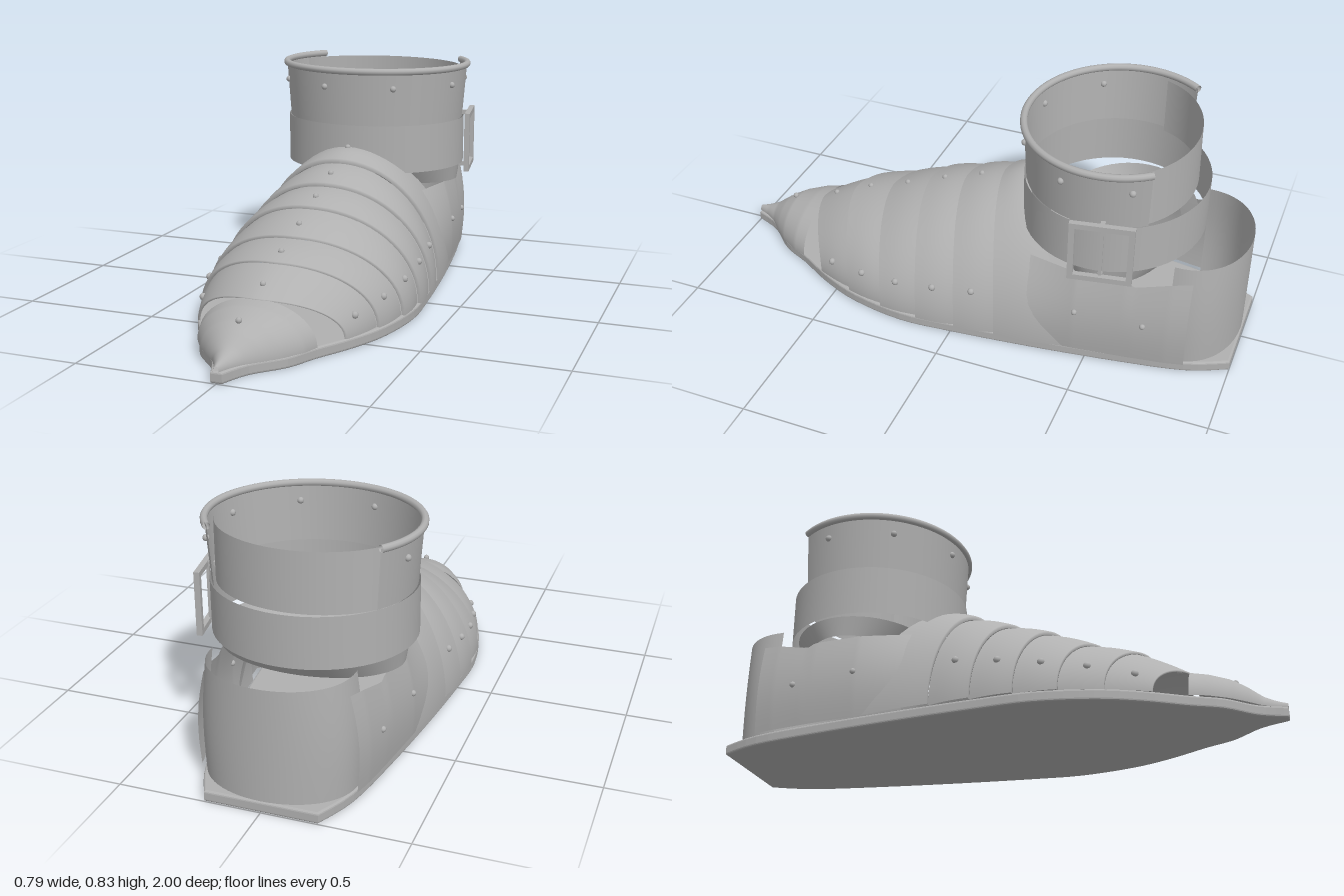
import * as THREE from 'three';
import { ParametricGeometry } from 'three/addons/geometries/ParametricGeometry.js';

const steel = new THREE.MeshStandardMaterial({ color: 0xb0b0b0, side: THREE.DoubleSide });
steel.name = 'steel grey';

const BASE = 0.04; // top of the sole
const ANKLE_Z = -0.495;
const lerp = THREE.MathUtils.lerp;

export function createModel() {
  const model = new THREE.Group();

  const add = (name, geometry, parent = model) => {
    const mesh = new THREE.Mesh(geometry, steel);
    mesh.name = name;
    parent.add(mesh);
    return mesh;
  };
  const sheet = (name, fn, nu, nv) =>
    add(name, new ParametricGeometry((u, v, p) => p.set(...fn(u, v)), nu, nv));
  const rivet = (x, y, z, r = 0.011) =>
    add('rivet', new THREE.SphereGeometry(r, 10, 8)).position.set(x, y, z);

  // Piecewise linear reading of rows whose first entry is the key
  const sample = (rows, key) => {
    let i = 0;
    while (i < rows.length - 2 && key > rows[i + 1][0]) i++;
    const a = rows[i], b = rows[i + 1];
    const t = (key - a[0]) / (b[0] - a[0]);
    return a.map((n, k) => lerp(n, b[k], t));
  };

  // Sole: half outline as [halfWidth, z], mirrored
  const half = [[0.195, -1], [0.26, -0.85], [0.305, -0.6], [0.345, -0.3], [0.375, 0], [0.385, 0.2],
    [0.35, 0.4], [0.29, 0.55], [0.21, 0.69], [0.155, 0.8], [0.065, 0.9], [0.02, 1]];
  const side = new THREE.SplineCurve(half.map(([x, z]) => new THREE.Vector2(x, -z))).getPoints(44);
  const outline = [...side, ...side.slice().reverse().map(p => new THREE.Vector2(-p.x, p.y))];
  const sole = new THREE.ExtrudeGeometry(new THREE.Shape(outline), {
    depth: 0.024, bevelThickness: 0.008, bevelSize: 0.008, bevelOffset: -0.008, bevelSegments: 3,
  });
  sole.rotateX(-Math.PI / 2).translate(0, 0.008, 0);
  add('sole', sole);

  // Foot lames between arched edges: [topZ, topY, bottomZ, halfWidth]
  const edges = [[-0.17, 0.53, -0.42, 0.335], [-0.07, 0.5, -0.17, 0.37], [0.08, 0.44, -0.02, 0.385],
    [0.23, 0.388, 0.13, 0.388], [0.39, 0.317, 0.28, 0.375], [0.55, 0.268, 0.43, 0.335],
    [0.7, 0.183, 0.58, 0.272]];
  const archPoint = (e, angle, scale) => {
    const c = Math.cos(angle);
    const z = lerp(e[0], e[2], Math.pow(Math.abs(c), 1.5));
    return [c * e[3] * scale, BASE + Math.sin(angle) * (e[1] - BASE) * scale, z];
  };
  for (let i = 0; i < edges.length - 1; i++) {
    const a = edges[i], b = edges[i + 1];
    const at = (angle, t, lip = 0) => {
      const e = a.map((n, k) => lerp(n, b[k], t));
      const rear = i === 0 ? 1 : 0.965;
      return archPoint(e, angle, lerp(rear, 1.005, t) + 0.015 * Math.sin(Math.PI * t) - lip);
    };
    // the last row turns in as a lip
    sheet('footLame', (u, v) => at(u * Math.PI, Math.min(1, v * 1.2), v > 0.99 ? 0.035 : 0), 36, 6);
    rivet(...at(Math.PI / 2, i === 0 ? 0.08 : 0.6));
    if (i > 0) for (const angle of [0.38, Math.PI - 0.38]) rivet(...at(angle, 0.55), 0.013);
  }

  // Pointed toe cap: [z, halfWidth, height]
  const toe = [[0.69, 0.212, 0.142], [0.75, 0.19, 0.132], [0.82, 0.145, 0.112], [0.87, 0.1, 0.085],
    [0.92, 0.05, 0.048], [0.96, 0.026, 0.03], [1, 0.01, 0.018]];
  sheet('toeCap', (u, v) => {
    const [z, w, h] = sample(toe, lerp(0.69, 1, v));
    return [w * Math.cos(u * Math.PI), BASE + h * Math.sin(u * Math.PI), z];
  }, 28, 20);
  rivet(0, 0.152, 0.83);

  // Side quarters: [z, bottomX, topX, topY], from heel to instep
  const quarter = [[-0.85, 0.272, 0.25, 0.385], [-0.78, 0.288, 0.268, 0.375], [-0.66, 0.306, 0.288, 0.345],
    [-0.63, 0.31, 0.29, 0.36], [-0.45, 0.333, 0.3, 0.36], [-0.27, 0.345, 0.265, 0.36]];
  for (const s of [1, -1]) {
    const wall = (z, v) => {
      const [, x0, x1, top] = sample(quarter, z);
      return [s * (lerp(x0, x1, v * v) + 0.012 * Math.sin(Math.PI * v)), lerp(BASE, top, v), z];
    };
    sheet('sideQuarter', (u, v) => wall(lerp(-0.85, -0.27, u), v), 30, 8);
    rivet(...wall(-0.46, 0.53));
    rivet(...wall(-0.7, 0.5));
  }

  // Heel counter wrapping the back
  sheet('heelCounter', (u, v) => {
    const a = u * Math.PI;
    const w = 0.262 + 0.012 * Math.sin(Math.PI * v) - 0.014 * v;
    return [w * Math.cos(a), lerp(BASE, 0.44, v), -0.78 - 0.215 * Math.pow(Math.sin(a), 0.85)];
  }, 32, 6);

  // Elliptical ankle plates; angle 0 faces the front, end radii are [rx, rz]
  const anklePlate = (name, y0, y1, r0, r1, from, to, z = ANKLE_Z) =>
    sheet(name, (u, v) => {
      const a = lerp(from, to, u);
      return [Math.sin(a) * lerp(r0[0], r1[0], v), lerp(y0, y1, v), z + Math.cos(a) * lerp(r0[1], r1[1], v)];
    }, 56, 2);
  const OPEN = 2.2;
  anklePlate('ankleNeck', 0.36, 0.43, [0.325, 0.2], [0.335, 0.26], -Math.PI, Math.PI, -0.53);
  anklePlate('ankleBand', 0.43, 0.613, [0.353, 0.326], [0.353, 0.326], -Math.PI, Math.PI);
  anklePlate('frontCuff', 0.61, 0.82, [0.346, 0.32], [0.362, 0.33], -OPEN, OPEN);
  anklePlate('rearCuff', 0.6, 0.81, [0.338, 0.28], [0.338, 0.275], 1.85, 2 * Math.PI - 1.85);

  // Rolled rim on the front cuff
  const rim = [];
  for (let i = 0; i <= 40; i++) {
    const a = lerp(-OPEN, OPEN, i / 40);
    rim.push(new THREE.Vector3(Math.sin(a) * 0.363, 0.82, ANKLE_Z + Math.cos(a) * 0.331));
  }
  add('cuffRim', new THREE.TubeGeometry(new THREE.CatmullRomCurve3(rim), 80, 0.013, 10));
  for (const degrees of [-105, -61, -16.5, 27.5, 72, 115]) {
    const a = THREE.MathUtils.degToRad(degrees);
    rivet(Math.sin(a) * 0.358, 0.755, ANKLE_Z + Math.cos(a) * 0.328, 0.012);
  }

  // Buckle on the left side
  const buckle = new THREE.Group();
  buckle.name = 'buckle';
  buckle.position.set(0.372, 0.523, -0.553);
  buckle.rotation.y = 0.17;
  model.add(buckle);
  const bar = (name, w, h, d, x, y, z) =>
    add(name, new THREE.BoxGeometry(w, h, d), buckle).position.set(x, y, z);
  for (const s of [1, -1]) {
    bar('buckleUpright', 0.02, 0.23, 0.02, 0, 0, s * 0.1);
    bar('buckleCrossbar', 0.02, 0.02, 0.2, 0, s * 0.105, 0);
    bar('buckleMount', 0.04, 0.016, 0.016, -0.02, s * 0.105, 0);
  }
  bar('bucklePin', 0.01, 0.19, 0.012, -0.008, 0, 0);

  return model;
}
